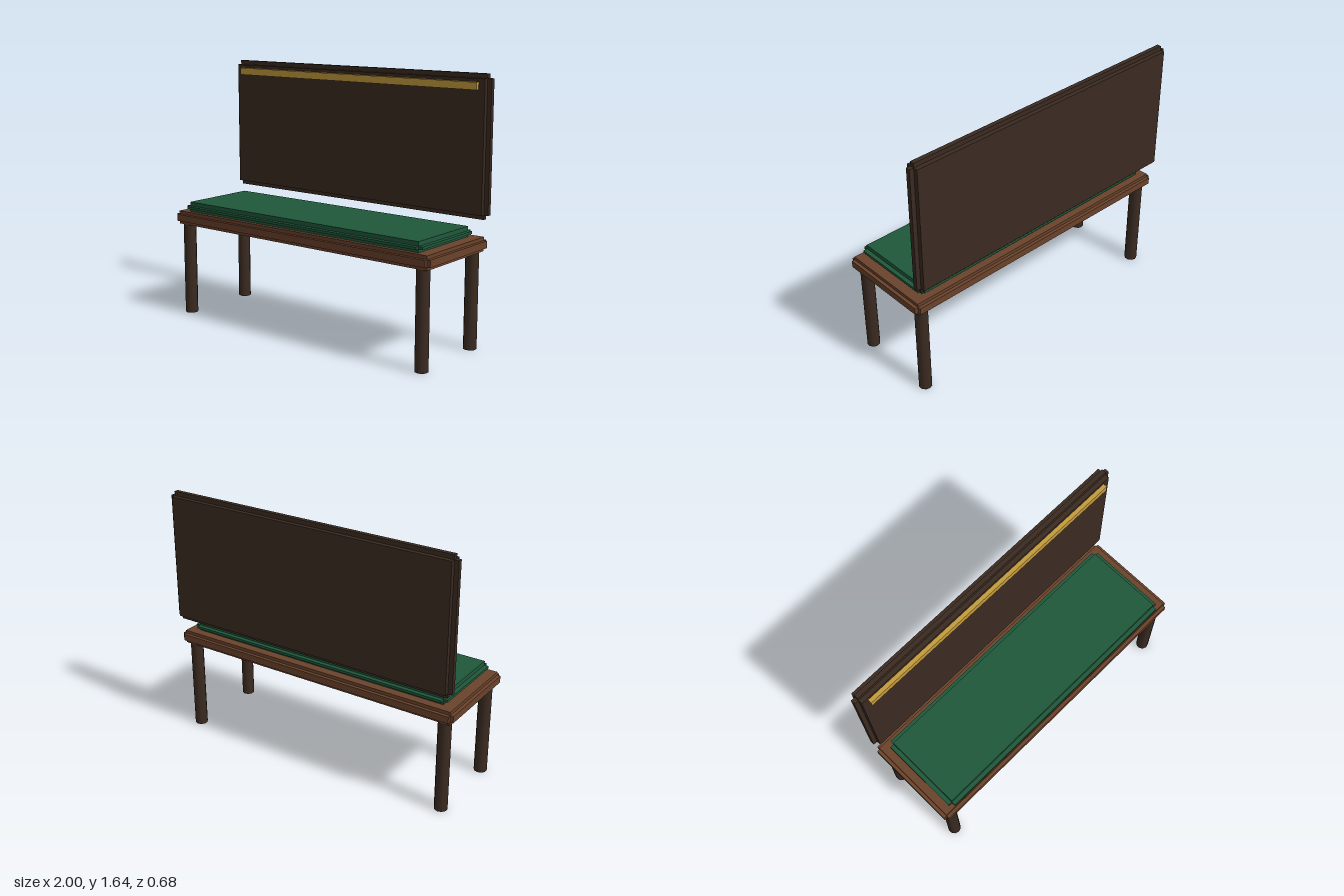
import * as THREE from 'three';
import { mergeVertices } from 'three/addons/utils/BufferGeometryUtils.js';

const material = (name, color) => {
  const m = new THREE.MeshStandardMaterial({ color });
  m.name = name;
  return m;
};

// Block with stepped edges: three crossed boxes, each full size along one axis only
function steppedBlock(name, mat, min, max, step) {
  const group = new THREE.Group();
  group.name = name;
  const size = max.map((v, i) => v - min[i]);
  for (let axis = 0; axis < 3; axis++) {
    const dims = size.map((s, i) => (i === axis ? s : s - 2 * step));
    const mesh = new THREE.Mesh(new THREE.BoxGeometry(...dims), mat);
    mesh.name = name + 'Layer' + (axis + 1);
    group.add(mesh);
  }
  group.position.set(...min.map((v, i) => (v + max[i]) / 2));
  return group;
}

export function createModel() {
  const darkWood = material('darkWood', 0x3b2b21);
  const warmWood = material('warmWood', 0x6a422b);
  const greenFabric = material('greenFabric', 0x20583b);
  const brass = material('brass', 0xc49c3c);

  const model = new THREE.Group();
  model.name = 'bench';

  // Seat, cushion and floating back panel
  model.add(
    steppedBlock('seat', warmWood, [-1, 0.602, -0.303], [1, 0.688, 0.338], 0.021),
    steppedBlock('cushion', greenFabric, [-0.93, 0.682, -0.253], [0.93, 0.752, 0.317], 0.027),
    steppedBlock('backPanel', darkWood, [-1, 0.788, -0.34], [1, 1.645, -0.256], 0.028)
  );

  // Brass rail along the top of the back panel
  const rail = new THREE.Mesh(new THREE.BoxGeometry(1.86, 0.045, 0.032), brass);
  rail.name = 'brassRail';
  rail.position.set(0, 1.575, -0.246);
  model.add(rail);

  // Four round legs, smooth-shaded over the rims
  const raw = new THREE.CylinderGeometry(0.0415, 0.0415, 0.61, 10);
  raw.deleteAttribute('normal');
  raw.deleteAttribute('uv');
  const legGeometry = mergeVertices(raw);
  legGeometry.computeVertexNormals();
  for (const [xName, x] of [['left', 0.927], ['right', -0.927]]) {
    for (const [zName, z] of [['Front', 0.276], ['Back', -0.24]]) {
      const leg = new THREE.Mesh(legGeometry, darkWood);
      leg.name = xName + zName + 'Leg';
      leg.position.set(x, 0.305, z);
      model.add(leg);
    }
  }
  return model;
}
